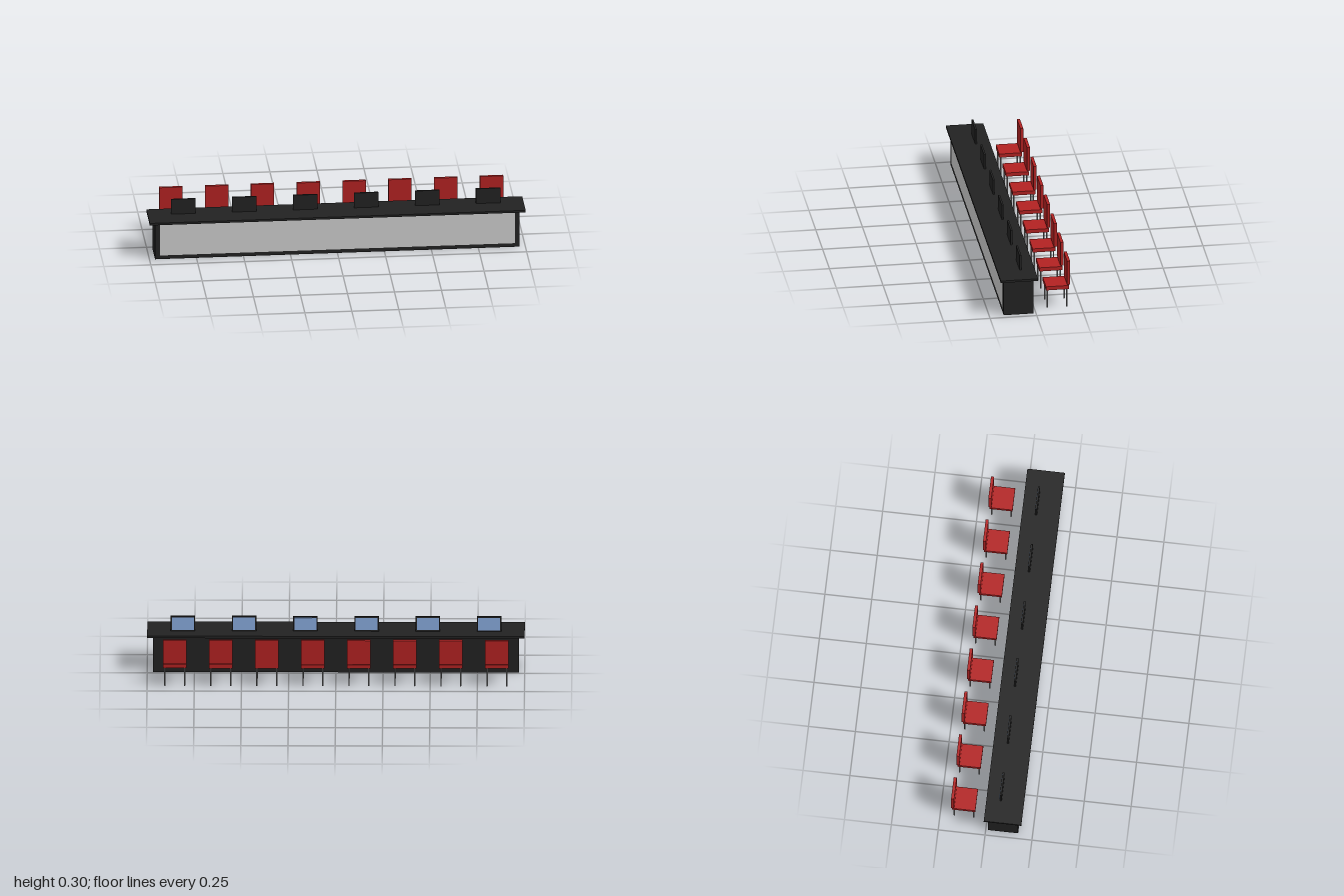
import * as THREE from 'three';

const mat = (name, color) => {
  const m = new THREE.MeshStandardMaterial({ color });
  m.name = name;
  return m;
};

export function createModel() {
  const black = mat('black', 0x222222);
  const red = mat('red', 0xb22222);
  const silver = mat('silver', 0xcccccc);
  const steel = mat('steel', 0x8c8c8c);
  const blue = mat('screenBlue', 0x88aadd);

  // Box given by its centre x, width, and its y and z extents
  const box = (parent, name, material, x, w, y0, y1, z0, z1) => {
    const mesh = new THREE.Mesh(new THREE.BoxGeometry(w, y1 - y0, z1 - z0), material);
    mesh.position.set(x, (y0 + y1) / 2, (z0 + z1) / 2);
    mesh.name = name;
    parent.add(mesh);
  };

  const model = new THREE.Group();
  model.name = 'panelDesk';

  // Long desk with a light front panel
  const desk = new THREE.Group();
  desk.name = 'desk';
  box(desk, 'deskBody', black, 0, 1.94, 0, 0.202, 0.012, 0.173);
  box(desk, 'frontPanel', silver, 0, 1.89, 0.021, 0.198, 0.172, 0.1745);
  box(desk, 'tableTop', black, 0, 2, 0.202, 0.214, -0.007, 0.193);
  model.add(desk);

  // Monitors facing the chairs
  for (let i = 0; i < 6; i++) {
    const monitor = new THREE.Group();
    monitor.name = 'monitor';
    monitor.position.x = (i - 2.5) * 0.3245;
    box(monitor, 'monitorCase', black, 0, 0.13, 0.214, 0.298, 0.064, 0.074);
    box(monitor, 'screen', blue, 0, 0.116, 0.221, 0.291, 0.063, 0.0645);
    model.add(monitor);
  }

  // Row of chairs behind the desk
  const legGeometry = new THREE.CylinderGeometry(0.004, 0.004, 0.104, 10);
  for (let i = 0; i < 8; i++) {
    const chair = new THREE.Group();
    chair.name = 'chair';
    chair.position.x = (i - 3.5) * 0.2438;
    box(chair, 'seat', red, 0, 0.124, 0.104, 0.125, -0.185, -0.062);
    box(chair, 'backrest', red, 0, 0.124, 0.13, 0.266, -0.191, -0.175);
    for (const x of [-0.052, 0.052]) {
      for (const z of [-0.071, -0.175]) {
        const leg = new THREE.Mesh(legGeometry, steel);
        leg.position.set(x, 0.052, z);
        leg.name = 'chairLeg';
        chair.add(leg);
      }
    }
    model.add(chair);
  }
  return model;
}
